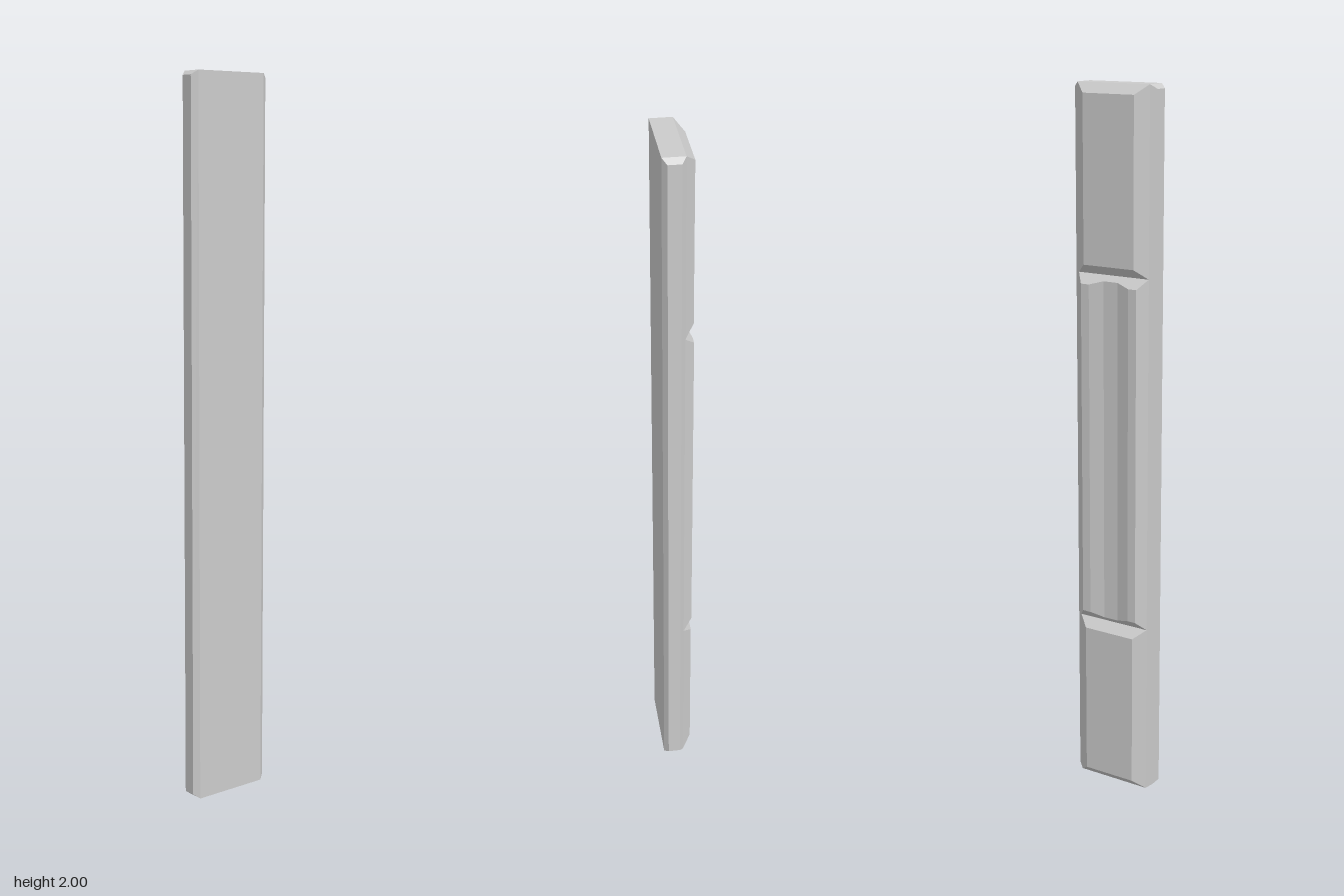
import * as THREE from 'three';
import { ConvexGeometry } from 'three/addons/geometries/ConvexGeometry.js';

const material = new THREE.MeshStandardMaterial({ color: 0xcccccc, flatShading: true });
const BASE_X = -0.017; // plane where the raised panels meet the slab

// Raised panel on the -x side: a [z, depth] profile run upward, with 45 degree bevelled ends
function raisedPanel(name, profile, y0, y1) {
  const shape = new THREE.Shape(profile.map(([z, d]) => new THREE.Vector2(z, d)));
  const geo = new THREE.ExtrudeGeometry(shape, { depth: 1, bevelEnabled: false });
  const p = geo.attributes.position;
  for (let i = 0; i < p.count; i++) {
    const z = p.getX(i), d = p.getY(i), top = p.getZ(i) > 0.5;
    p.setXYZ(i, BASE_X - d, top ? y1 - d : y0 + d, -z);
  }
  geo.computeVertexNormals();
  const mesh = new THREE.Mesh(geo, material);
  mesh.name = name;
  return mesh;
}

export function createModel() {
  const group = new THREE.Group();
  group.name = 'panelledSlab';

  // Slab: full-height broad faces, with narrow edges bevelled all round
  const points = [];
  for (const s of [-1, 1]) {
    for (const [x, z, inset] of [[BASE_X, 0.11, 0], [0.042, 0.11, 0], [-0.005, 0.126, 0.012], [0.03, 0.126, 0.012]]) {
      points.push(new THREE.Vector3(x, inset, s * z), new THREE.Vector3(x, 2 - inset, s * z));
    }
  }
  const slab = new THREE.Mesh(new ConvexGeometry(points), material);
  slab.name = 'slab';
  group.add(slab);

  // Plain end panels and the grooved middle panel, leaving V notches between
  const plain = [[-0.11, 0], [0.11, 0], [0.078, 0.026], [-0.078, 0.026]];
  const grooved = [
    [-0.11, 0], [0.11, 0], [0.087, 0.026], [0.062, 0.026],
    [0.022, 0.015], [-0.022, 0.015], [-0.062, 0.026], [-0.087, 0.026],
  ];
  group.add(
    raisedPanel('lowerPanel', plain, 0, 0.5),
    raisedPanel('groovedPanel', grooved, 0.5, 1.5),
    raisedPanel('upperPanel', plain, 1.5, 2),
  );
  return group;
}
